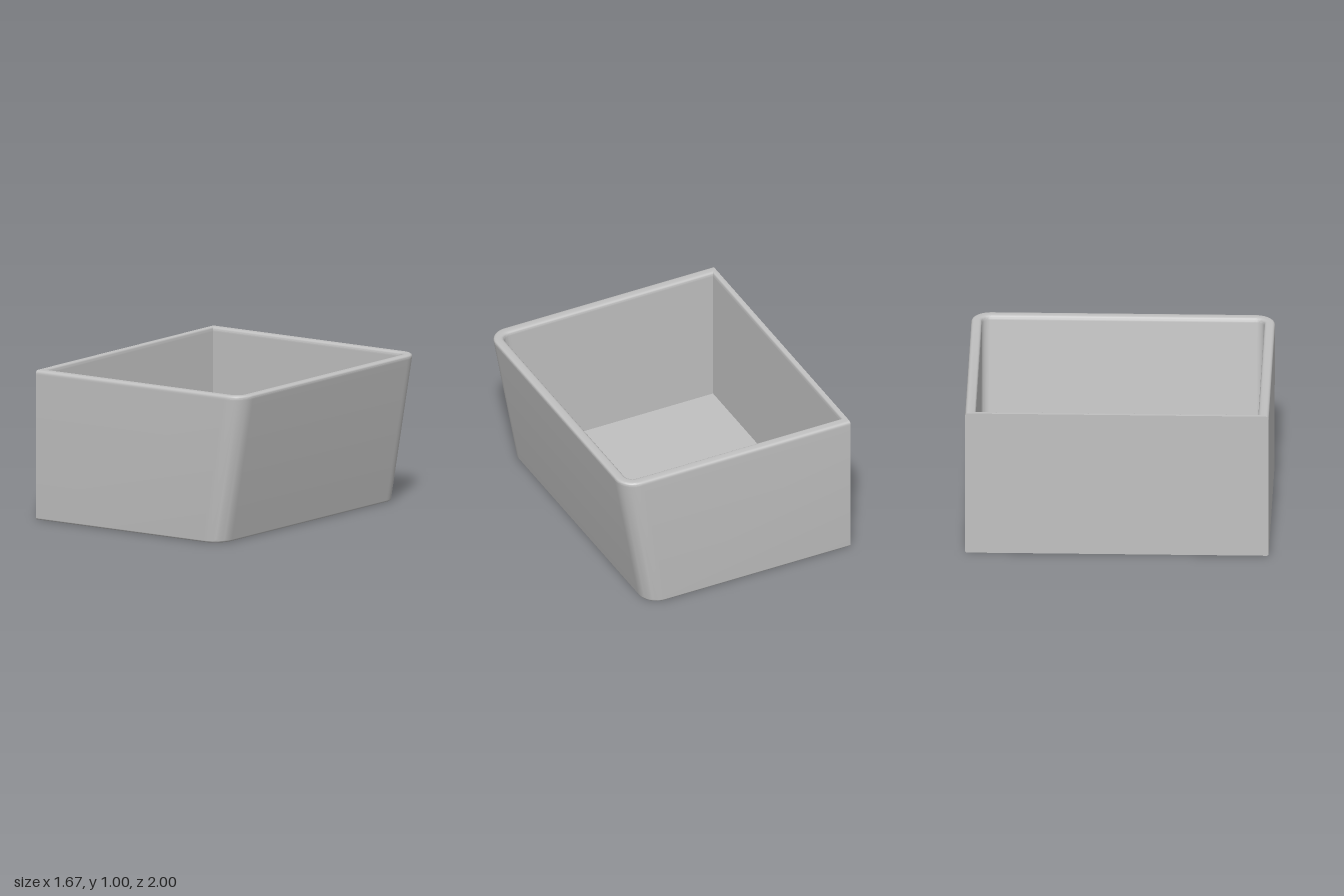
import * as THREE from 'three';
import { toCreasedNormals } from 'three/addons/utils/BufferGeometryUtils.js';

const BACK = -0.836, HALF = 1, RADIUS = 0.13, WALL = 0.07, FLOOR = 0.03;
const frontX = (y) => 0.661 + 0.177 * y; // sloping front wall

// One horizontal outline: square at the back, rounded corners at the front
function outline([inset, backInset, y]) {
  const h = HALF - inset, r = RADIUS - inset, b = BACK + backInset;
  const cx = frontX(y) - inset - r, cz = h - r;
  const pts = [[b, h], [cx - 0.01, h]];
  const steps = 10;
  for (let i = 0; i <= steps; i++) {
    const a = (Math.PI / 2) * (1 - i / steps);
    pts.push([cx + r * Math.cos(a), cz + r * Math.sin(a)]);
  }
  pts.push([cx + r, cz - 0.01]);
  const mirrored = pts.map(([x, z]) => [x, -z]).reverse();
  return [...pts, ...mirrored].map(([x, z]) => [x, y, z]);
}

// Wall section from the base, up the outside, over the rim and down the inside
function section() {
  const rows = [[0.025, 0, 0]], n = 4, rb = 0.012, rt = 0.02;
  const arc = (f) => {
    for (let i = 0; i <= n; i++) {
      const a = (Math.PI / 2) * (i / n);
      rows.push(f(Math.sin(a), Math.cos(a)));
    }
  };
  arc((s, c) => [rb * (1 - s), 0, rb * (1 - c)]);            // base edge
  rows.push([0, 0, 0.02], [0, 0, 0.97]);
  arc((s, c) => [rt * (1 - c), 0, 1 - rt * (1 - s)]);        // outer rim edge
  arc((s, c) => {                                            // inner rim edge
    const o = WALL - rt * (1 - s);
    return [o, o / 2, 1 - rt * (1 - c)];
  });
  rows.push([WALL, WALL / 2, 0.97], [WALL, WALL / 2, FLOOR]);
  return rows;
}

function binGeometry() {
  const rings = section().map(outline);
  const n = rings[0].length, last = rings.length - 1;
  const index = [];
  for (let k = 0; k < last; k++) {
    for (let i = 0; i < n; i++) {
      const j = (i + 1) % n;
      const a = k * n + i, b = k * n + j, c = b + n, d = a + n;
      index.push(a, b, c, a, c, d);
    }
  }
  // Underside and inner floor
  for (let i = 1; i < n - 1; i++) {
    index.push(0, i + 1, i);
    index.push(last * n, last * n + i, last * n + i + 1);
  }
  const geo = new THREE.BufferGeometry();
  geo.setAttribute('position', new THREE.Float32BufferAttribute(rings.flat(2), 3));
  geo.setIndex(index);
  return toCreasedNormals(geo, 0.55);
}

export function createModel() {
  const group = new THREE.Group();
  group.name = 'openBin';
  const grey = new THREE.MeshStandardMaterial({ color: 0xc0c0c0 });
  grey.name = 'light grey';
  const bin = new THREE.Mesh(binGeometry(), grey);
  bin.name = 'binShell';
  group.add(bin);
  return group;
}
